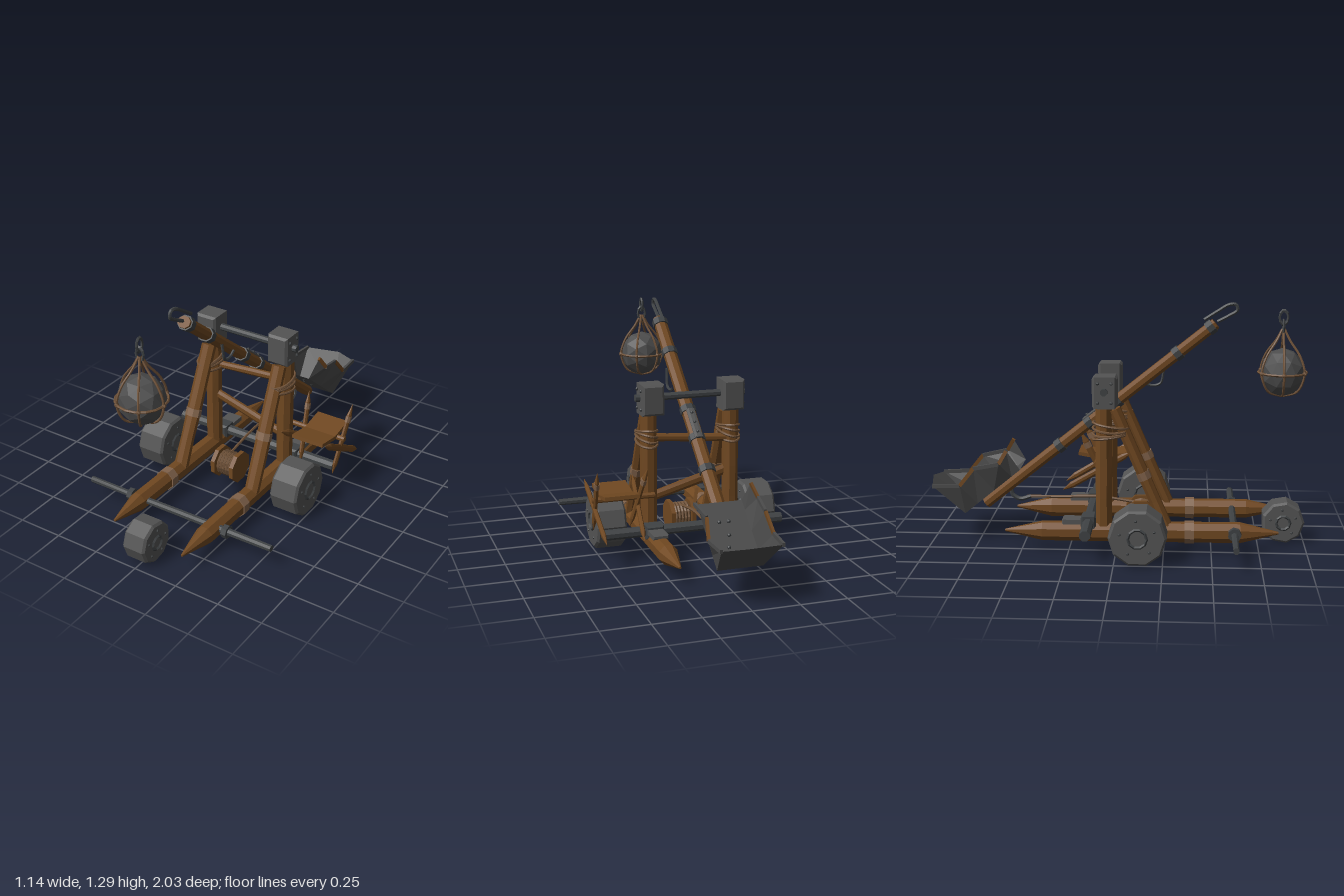
import * as THREE from 'three';

const V = (x, y, z) => new THREE.Vector3(x, y, z);
const mat = (name, color, side = THREE.FrontSide) => {
  const m = new THREE.MeshStandardMaterial({ color, side });
  m.name = name;
  return m;
};

export function createModel() {
  const wood = mat('wood', 0x704821);
  const darkWood = mat('dark wood', 0x523519);
  const binding = mat('cloth binding', 0x80624a);
  const rope = mat('rope', 0x6e5138);
  const iron = mat('iron', 0x545454);
  const darkIron = mat('dark iron', 0x3f4244);
  const sheet = mat('iron sheet', 0x4b4b4b, THREE.DoubleSide);
  const stone = mat('stone', 0x4c4c4c);

  const model = new THREE.Group();
  model.name = 'catapult';
  let seed = 7;
  const rnd = () => (seed = (seed * 16807) % 2147483647) / 2147483647 - 0.5;

  // flat-faced mesh
  const add = (name, geo, material, pos) => {
    const g = geo.index ? geo.toNonIndexed() : geo;
    g.computeVertexNormals();
    const m = new THREE.Mesh(g, material);
    m.name = name;
    if (pos) m.position.copy(pos);
    model.add(m);
    return m;
  };

  // hewn beam from a to b; w is its width along "side", tip is the length of each pointed end
  const beam = (name, a, b, w, h, material, { side = V(1, 0, 0), tip = [0, 0], sides = 8, rough = 0 } = {}) => {
    const dir = b.clone().sub(a), len = dir.length();
    dir.normalize();
    const zAxis = side.clone().cross(dir).normalize();
    const xAxis = dir.clone().cross(zAxis);
    const k = 0.5 / Math.cos(Math.PI / sides);
    const g = new THREE.CylinderGeometry(k, k, 1, sides, 4);
    g.rotateY(Math.PI / sides);
    const rows = [0, tip[0] || len * 0.25, len / 2, len - (tip[1] || len * 0.25), len];
    const wobble = rows.map(() => [1 + rough * rnd(), 1 + rough * rnd()]);
    const p = g.attributes.position;
    for (let i = 0; i < p.count; i++) {
      const r = Math.round((p.getY(i) + 0.5) * 4);
      const pinch = (r === 0 && tip[0]) || (r === 4 && tip[1]) ? 0.12 : 1;
      p.setXYZ(i, p.getX(i) * w * pinch * wobble[r][0], rows[r], p.getZ(i) * h * pinch * wobble[r][1]);
    }
    g.applyMatrix4(new THREE.Matrix4().makeBasis(xAxis, dir, zAxis).setPosition(a));
    return add(name, g, material);
  };
  const zSide = { side: V(0, 0, 1) };

  const tube = (name, pts, r, material, closed = false) => {
    const c = new THREE.CatmullRomCurve3(pts, closed);
    return add(name, new THREE.TubeGeometry(c, pts.length * 5, r, 6, closed), material);
  };

  // box with cut edges
  const chamferBox = (name, w, h, d, c, material, pos) => {
    const x = w / 2 - c, y = h / 2 - c;
    const s = new THREE.Shape([[-x, -y], [x, -y], [x, y], [-x, y]].map(q => new THREE.Vector2(...q)));
    const g = new THREE.ExtrudeGeometry(s, { depth: d - 2 * c, bevelEnabled: true, bevelThickness: c, bevelSize: c, bevelSegments: 1 });
    g.translate(0, 0, c - d / 2);
    return add(name, g, material, pos);
  };

  // wheel with cut rims, axis along x
  const wheel = (name, r, width, pos, sides) => {
    const h = width / 2, c = 0.012;
    const prof = [[0, -h], [r - c, -h], [r, -h + c], [r, h - c], [r - c, h], [0, h]];
    const g = new THREE.LatheGeometry(prof.map(q => new THREE.Vector2(...q)), sides);
    g.rotateZ(-Math.PI / 2);
    add(name, g, iron, pos);
    for (const s of [-1, 1]) {
      const hub = new THREE.TorusGeometry(r * 0.32, 0.008, 4, 10).rotateY(Math.PI / 2);
      add(name + 'HubRing', hub, darkIron, V(pos.x + s * h, pos.y, pos.z));
      for (let i = 0; i < 5; i++) {
        const a = i * Math.PI * 0.4 + 0.4;
        add(name + 'Stud', new THREE.IcosahedronGeometry(0.008, 0), darkIron,
          V(pos.x + s * h, pos.y + Math.sin(a) * r * 0.62, pos.z + Math.cos(a) * r * 0.62));
      }
    }
  };

  // base rails, posts, braces and head blocks
  for (const s of [-1, 1]) {
    const x = 0.23 * s, front = s > 0 ? 0.9 : 0.85;
    beam('rail', V(x - 0.005, 0.1, -0.59), V(x - 0.01, 0.11, front), 0.095, 0.1, wood, { tip: [0.2, 0.2], rough: 0.12 });
    beam('post', V(x, 0.12, -0.065), V(x, 0.8, -0.065), 0.08, 0.085, wood, { rough: 0.1 });
    const foot = V(x, 0.11, 0.275), top = V(x - 0.008 * s, 0.76, -0.01);
    beam('brace', foot, top, 0.075, 0.06, wood, { rough: 0.12 });
    beam('braceBinding', foot.clone().lerp(top, 0.43), foot.clone().lerp(top, 0.49), 0.084, 0.068, binding);
    beam('railBinding', V(x - 0.008, 0.107, 0.36), V(x - 0.008, 0.107, 0.41), 0.106, 0.112, binding);
    chamferBox('headBlock', 0.12, 0.165, 0.13, 0.012, iron, V(s > 0 ? 0.215 : -0.232, 0.853, -0.058));
    for (const [dy, dz] of [[0, 0], [0.05, 0.035], [-0.05, -0.035], [0.05, -0.035], [-0.05, 0.035]])
      add('headRivet', new THREE.IcosahedronGeometry(0.01, 0), darkIron, V(s > 0 ? 0.276 : -0.293, 0.853 + dy, -0.058 + dz));
    chamferBox('railPlate', 0.085, 0.025, 0.17, 0.006, iron, V(x, 0.16, -0.2));
    chamferBox('beamClamp', 0.1, 0.075, 0.08, 0.01, darkIron, V(x, 0.155, -0.145));
    for (let i = 0; i < 4; i++) {
      const ring = [];
      for (let k = 0; k < 8; k++) {
        const a = k * Math.PI / 4;
        ring.push(V(x + 0.054 * Math.cos(a), 0.615 + i * 0.02 + 0.015 * Math.sin(a + i), -0.03 + 0.092 * Math.sin(a)));
      }
      tube('postLashing', ring, 0.007, rope, true);
    }
    // front axle nut, main wheel
    const nut = new THREE.CylinderGeometry(0.036, 0.036, 0.03, 7).rotateZ(Math.PI / 2);
    add('axleNut', nut, darkIron, V(0.3 * s, 0.115, 0.62));
    wheel('mainWheel', 0.15, 0.162, V(s > 0 ? 0.42 : -0.442, 0.152, 0.122), 10);
  }
  wheel('frontWheel', 0.115, 0.135, V(-0.008, 0.115, 0.887), 9);

  // cross members
  beam('headBar', V(-0.31, 0.86, -0.06), V(0.3, 0.86, -0.06), 0.036, 0.036, darkIron, zSide);
  beam('crossBeam', V(-0.25, 0.612, -0.075), V(0.25, 0.65, -0.075), 0.035, 0.04, wood, { ...zSide, rough: 0.15 });
  beam('slantedBeam', V(-0.22, 0.44, -0.06), V(0.22, 0.315, -0.06), 0.035, 0.05, wood, { ...zSide, rough: 0.15 });
  beam('rearBeam', V(-0.5, 0.155, -0.145), V(0.5, 0.155, -0.145), 0.055, 0.052, darkIron, zSide);
  beam('frontAxle', V(-0.57, 0.112, 0.62), V(0.57, 0.118, 0.62), 0.032, 0.034, darkIron, { ...zSide, rough: 0.3 });

  // rope drum
  beam('drumCore', V(-0.07, 0.14, 0.122), V(0.06, 0.14, 0.122), 0.115, 0.115, darkWood, zSide);
  for (const x of [-0.065, 0.055])
    beam('drumFlange', V(x - 0.012, 0.14, 0.122), V(x + 0.012, 0.14, 0.122), 0.165, 0.165, wood, zSide);
  for (let i = 0; i < 5; i++)
    add('drumRope', new THREE.TorusGeometry(0.064, 0.009, 5, 12).rotateY(Math.PI / 2), rope, V(-0.041 + i * 0.018, 0.14, 0.122));

  // throwing arm with iron bands
  const armTop = V(-0.01, 1.18, 0.51), armEnd = V(-0.01, 0.185, -0.725);
  beam('throwingArm', armTop, armEnd, 0.07, 0.06, wood, { rough: 0.08 });
  const armAt = t => armTop.clone().lerp(armEnd, t);
  for (const t of [0.02, 0.16, 0.42, 0.54, 0.67])
    beam('armBand', armAt(t - 0.012), armAt(t + 0.012), 0.082, 0.074, darkIron);
  const armUp = V(0, 0.78, -0.626);
  const raise = (t, n) => armAt(t).addScaledVector(armUp, n);
  beam('armPlate', raise(0.43, 0.034), raise(0.55, 0.034), 0.045, 0.012, iron);
  for (const t of [0.45, 0.49, 0.53])
    add('armRivet', new THREE.IcosahedronGeometry(0.009, 0), darkIron, raise(t, 0.042));
  tube('armHook', [V(-0.01, 1.2, 0.45), V(-0.01, 1.245, 0.52), V(-0.01, 1.28, 0.58), V(-0.01, 1.28, 0.615),
    V(-0.01, 1.25, 0.622), V(-0.01, 1.225, 0.585), V(-0.01, 1.19, 0.52)], 0.01, darkIron);
  tube('armRope', [V(0.028, 0.95, 0.24), V(0.032, 0.9, 0.235), V(0.032, 0.85, 0.22), V(0.03, 0.84, 0.17), V(0.028, 0.86, 0.13)], 0.008, darkIron);

  // scoop: cross-sections down the arm, open on top with a ragged rim
  const scoopPoint = (x, u, n) => V(x, 0.385 - 0.63 * u + 0.77 * n, -0.51 - 0.77 * u - 0.63 * n);
  const stations = [[0, -0.015, 0.148, 0.14], [0.06, 0.058, 0.12, 0.165], [0.184, 0.184, 0.185, 0.15],
    [0.3, 0.3, 0.16, 0.165], [0.39, 0.42, 0.25, 0.155]];
  const rows = stations.map(([u, ur, n, w]) => [
    scoopPoint(-w - 0.005, ur, n), scoopPoint(-0.125, u, 0.02), scoopPoint(0.115, u, 0.02), scoopPoint(w, ur, n)]);
  const tri = [];
  const quad = (a, b, c, d) => [a, b, c, a, c, d].forEach(p => tri.push(p.x, p.y, p.z));
  for (let i = 0; i < rows.length - 1; i++)
    for (let j = 0; j < 3; j++) quad(rows[i][j], rows[i + 1][j], rows[i + 1][j + 1], rows[i][j + 1]);
  const last = rows[4], end = scoopPoint(0.04, 0.44, 0.28);
  quad(last[0], last[1], last[2], end);
  quad(last[2], last[3], end, last[2]);
  const scoop = new THREE.BufferGeometry();
  scoop.setAttribute('position', new THREE.Float32BufferAttribute(tri, 3));
  add('scoop', scoop, sheet);
  for (const j of [0, 3])
    for (let i = 0; i < 4; i++)
      beam('scoopRim', rows[i][j], rows[i + 1][j], 0.014, 0.02, i % 2 ? sheet : wood, { sides: 4 });
  for (const [x, u] of [[-0.02, 0.12], [0.03, 0.12], [0, 0.2], [0.02, 0.27]])
    add('scoopRivet', new THREE.IcosahedronGeometry(0.011, 0), darkIron, scoopPoint(x, u, 0.024));

  // trigger rope and hook
  tube('triggerRope', [V(-0.01, 0.2, 0.1), V(-0.01, 0.23, -0.12), V(-0.01, 0.225, -0.3), V(-0.01, 0.225, -0.5)], 0.008, rope);
  tube('triggerHook', [V(-0.01, 0.225, -0.48), V(-0.01, 0.21, -0.54), V(-0.01, 0.235, -0.58), V(-0.01, 0.27, -0.59)], 0.012, darkIron);

  // side winch: axle, bent treadle board and crossed spokes
  const wy = 0.35, wz = -0.14;
  beam('winchAxle', V(0.22, wy, wz), V(0.56, wy, wz), 0.028, 0.028, wood, zSide);
  for (const [z0, y0, z1, y1] of [[0.03, 0.385, -0.11, 0.36], [-0.11, 0.36, -0.25, 0.385]])
    beam('winchBoard', V(0.425, y0, z0), V(0.425, y1, z1), 0.185, 0.02, wood, { sides: 4 });
  for (const [x, lean] of [[0.31, -0.025], [0.543, 0.008]]) {
    beam('winchSpoke', V(x + lean, 0.52, -0.23), V(x - lean, 0.165, -0.06), 0.022, 0.036, wood, { tip: [0.06, 0.06] });
    beam('winchSpoke', V(x + lean, 0.41, 0.06), V(x - lean, 0.17, -0.34), 0.022, 0.036, wood, { tip: [0.06, 0.06] });
    beam('winchSpokeBinding', V(x + lean * 0.6, 0.46, -0.201), V(x + lean * 0.5, 0.43, -0.187), 0.028, 0.042, binding);
  }

  // hanging stone with rope cage and chain
  const bc = V(-0.01, 0.925, 0.865);
  const ball = new THREE.IcosahedronGeometry(1, 1).scale(0.124, 0.13, 0.118);
  add('hangingStone', ball, stone, bc);
  add('cageRing', new THREE.TorusGeometry(0.128, 0.007, 5, 16).rotateX(Math.PI / 2), rope, bc);
  for (let i = 0; i < 6; i++) {
    const a = i * Math.PI / 3, c = Math.cos(a), s = Math.sin(a);
    const pts = [[0.005, -0.128], [0.09, -0.095], [0.128, 0], [0.1, 0.09], [0.04, 0.17], [0.006, 0.23]];
    tube('cageRope', pts.map(([r, y]) => V(bc.x + r * c, bc.y + y, bc.z + r * s)), 0.0065, rope);
    add('cageKnot', new THREE.IcosahedronGeometry(0.013, 0), rope, V(bc.x + 0.128 * c, bc.y, bc.z + 0.128 * s));
  }
  for (const [y, turn] of [[1.165, 0], [1.215, Math.PI / 2]]) {
    const link = new THREE.TorusGeometry(0.022, 0.007, 5, 10).scale(1, 1.6, 1).rotateY(turn);
    add('chainLink', link, darkIron, V(bc.x, y, bc.z));
  }
  return model;
}
